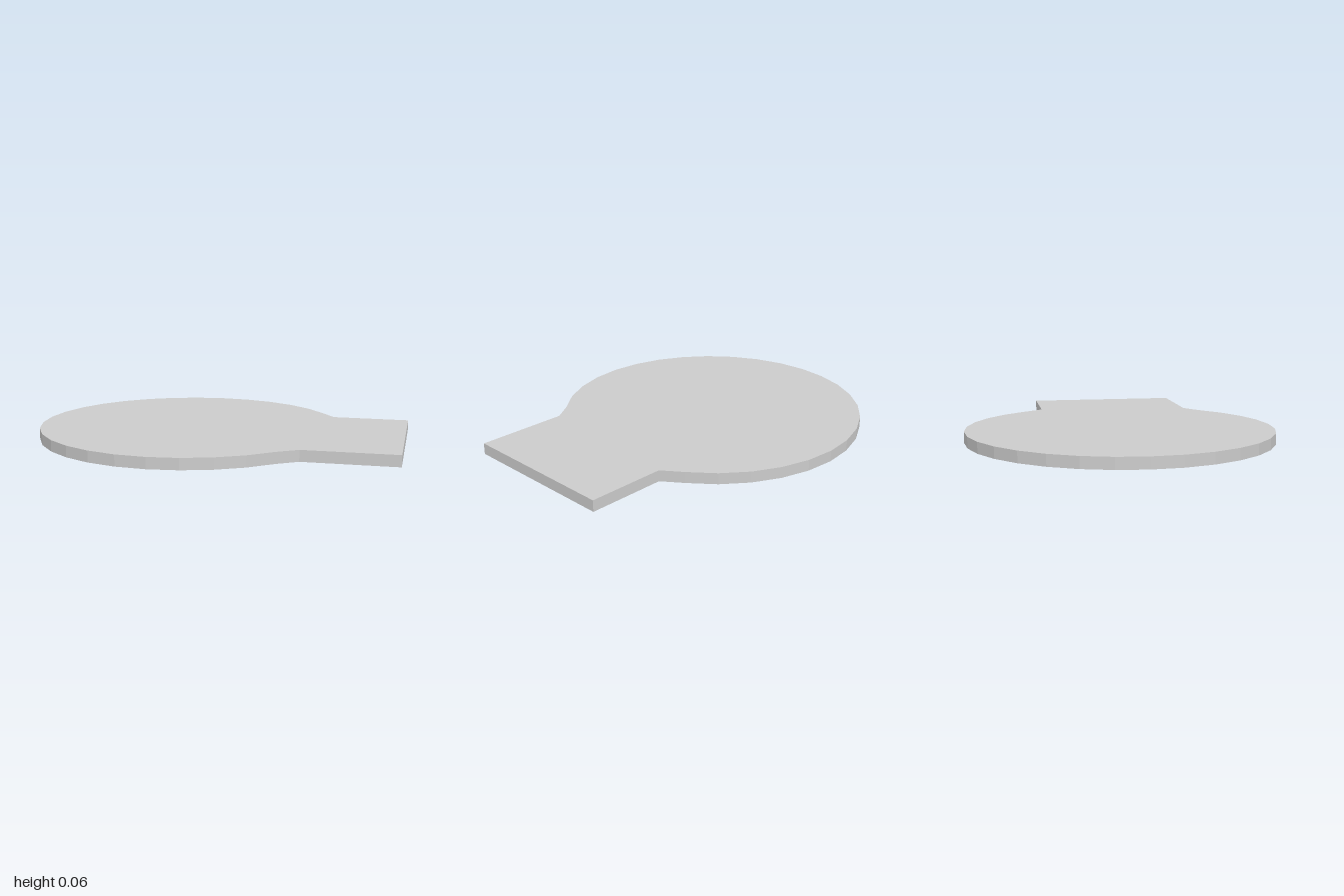
import * as THREE from 'three';

export function createModel() {
  const group = new THREE.Group();
  const height = 0.06, radius = 0.822, cx = -0.178, cy = 0.003, sides = 32;

  // Outline: rectangular tab on the left side, then the faceted disc
  const outline = [
    new THREE.Vector2(1, -0.51),
    new THREE.Vector2(1, 0.355),
    new THREE.Vector2(0.582, 0.355),
  ];
  for (let k = 3; k <= 28; k++) {
    const a = (k / sides) * Math.PI * 2;
    outline.push(new THREE.Vector2(cx + radius * Math.cos(a), cy + radius * Math.sin(a)));
  }
  outline.push(new THREE.Vector2(0.508, -0.51));

  // Flat slab, laid down so its thickness points up
  const geometry = new THREE.ExtrudeGeometry(new THREE.Shape(outline), {
    depth: height,
    bevelEnabled: false,
  });
  geometry.rotateX(-Math.PI / 2);

  const slab = new THREE.Mesh(
    geometry,
    new THREE.MeshStandardMaterial({ color: 0xcccccc, flatShading: true })
  );
  slab.name = 'roundSlabWithTab';
  group.add(slab);
  return group;
}
